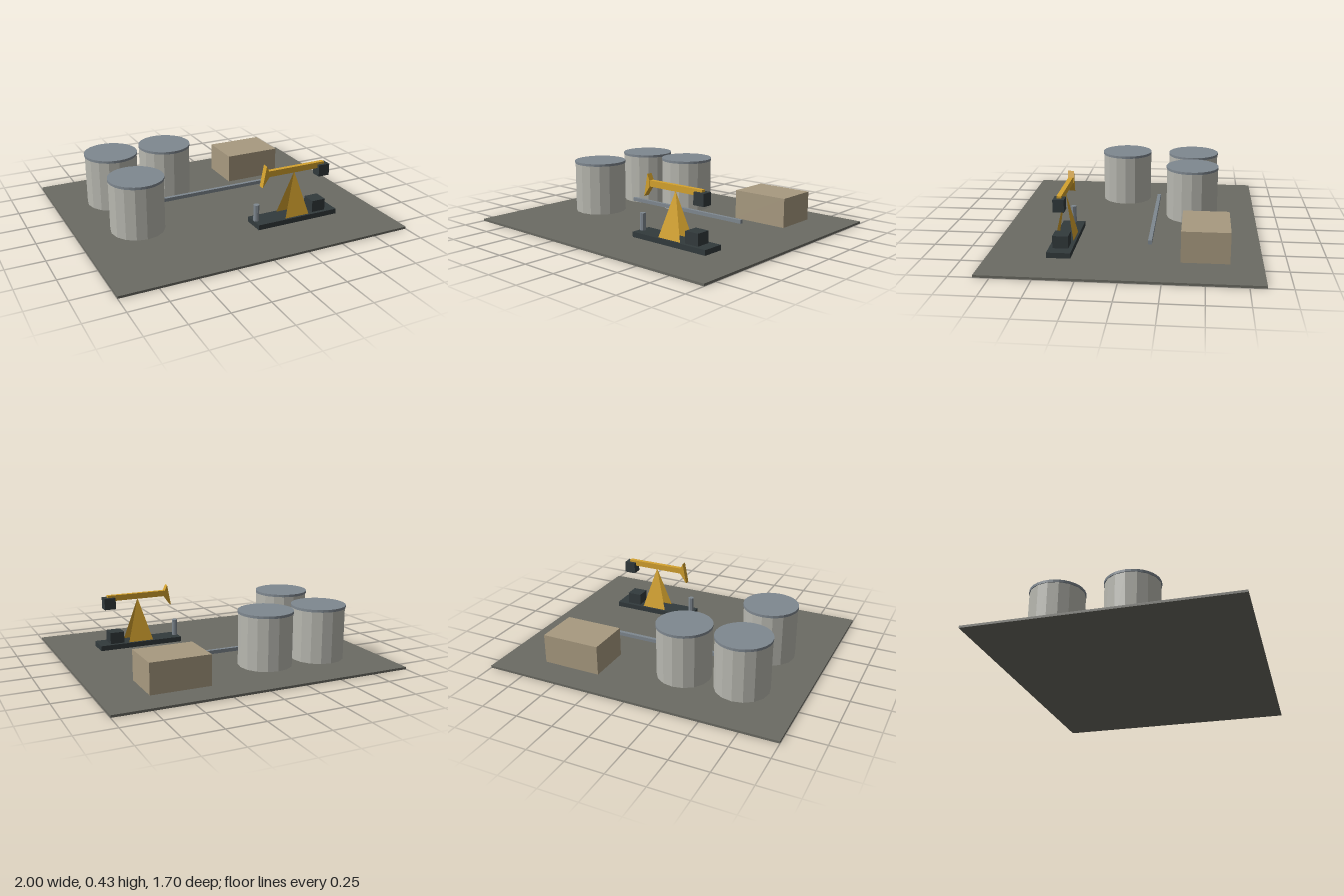
import * as THREE from 'three';

const material = (name, color, extra = {}) => {
  const m = new THREE.MeshStandardMaterial({ color, ...extra });
  m.name = name;
  return m;
};

export function createModel() {
  const flat = { flatShading: true };
  const ground = material('ground', 0x6b6b63);
  const tankWall = material('tank wall', 0xb8b8b0, flat);
  const steel = material('steel', 0x7f8890, flat);
  const yellow = material('pump yellow', 0xd4a22e, { side: THREE.DoubleSide });
  const dark = material('dark iron', 0x323a3c);
  const tan = material('shed tan', 0xa89a80);

  const model = new THREE.Group();
  model.name = 'oilField';

  const add = (parent, name, geometry, mat, x = 0, y = 0, z = 0) => {
    const mesh = new THREE.Mesh(geometry, mat);
    mesh.name = name;
    mesh.position.set(x, y, z);
    parent.add(mesh);
    return mesh;
  };
  // Box given by its size, the height of its underside and its centre
  const box = (parent, name, mat, [w, h, d], x, bottom, z) =>
    add(parent, name, new THREE.BoxGeometry(w, h, d), mat, x, bottom + h / 2, z);

  // Site slab, shed and pipeline
  box(model, 'groundSlab', ground, [2, 0.015, 1.7], 0, 0, 0);
  box(model, 'shed', tan, [0.4, 0.2, 0.3], 0.5, 0.015, -0.5);
  box(model, 'pipeline', steel, [1, 0.025, 0.025], 0, 0.05, -0.15);

  // Storage tanks
  for (const [x, z] of [[-0.6, -0.4], [-0.2, -0.4], [-0.6, 0.1]]) {
    const tank = new THREE.Group();
    tank.name = 'storageTank';
    tank.position.set(x, 0.015, z);
    add(tank, 'tankBody', new THREE.CylinderGeometry(0.18, 0.18, 0.35, 16), tankWall, 0, 0.175, 0);
    add(tank, 'tankLid', new THREE.CylinderGeometry(0.183, 0.183, 0.017, 32), steel, 0, 0.3585, 0);
    model.add(tank);
  }

  // Pump jack, centred on its own z axis
  const pump = new THREE.Group();
  pump.name = 'pumpJack';
  pump.position.z = 0.4;
  model.add(pump);
  box(pump, 'pumpBase', dark, [0.6, 0.035, 0.15], 0.4, 0.015, 0);
  box(pump, 'motor', dark, [0.1, 0.08, 0.1], 0.573, 0.05, 0);
  box(pump, 'counterweight', dark, [0.08, 0.08, 0.07], 0.612, 0.295, 0);
  box(pump, 'walkingBeam', yellow, [0.43, 0.04, 0.03], 0.407, 0.35, 0);
  add(pump, 'wellhead', new THREE.CylinderGeometry(0.02, 0.02, 0.115, 8), steel, 0.12, 0.1075, 0);

  // Two triangular frame panels leaning together under the beam
  for (const side of [1, -1]) {
    const panel = new THREE.BufferGeometry();
    panel.setAttribute('position', new THREE.Float32BufferAttribute([
      0.4 - side * 0.09, 0.05, side * 0.06,
      0.4 + side * 0.09, 0.05, side * 0.06,
      0.4, 0.352, 0,
    ], 3));
    panel.computeVertexNormals();
    add(pump, 'framePanel', panel, yellow);
  }

  // Horse head at the well end of the beam
  const head = new THREE.Shape([
    [0.152, 0.283], [0.2, 0.35], [0.2, 0.387], [0.18, 0.43],
  ].map(([x, y]) => new THREE.Vector2(x, y)));
  add(pump, 'horseHead', new THREE.ExtrudeGeometry(head, { depth: 0.04, bevelEnabled: false }),
    yellow, 0, 0, -0.02);

  return model;
}
